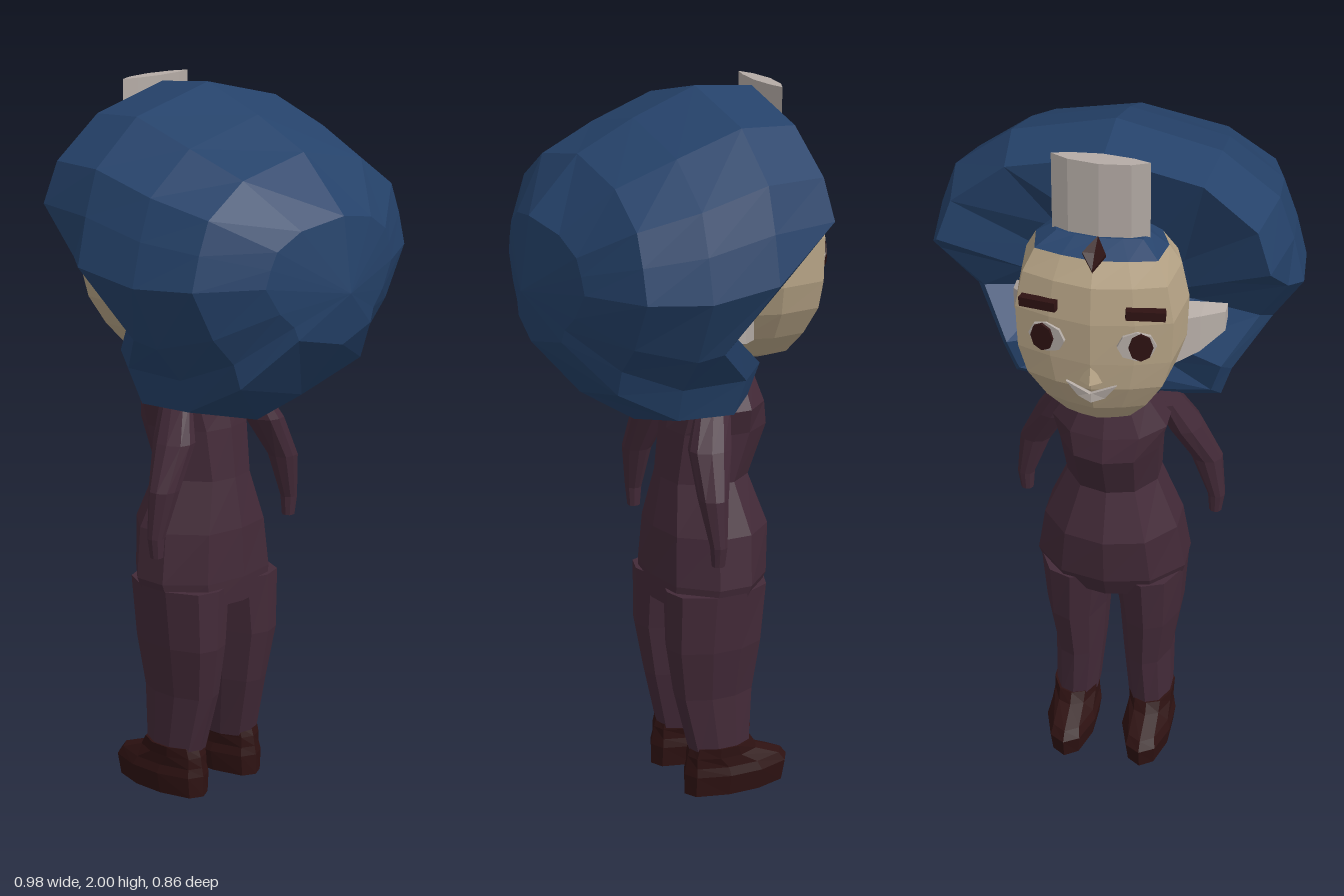
import * as THREE from 'three';

const mat = (name, color) => {
  const m = new THREE.MeshStandardMaterial({ color, flatShading: true });
  m.name = name;
  return m;
};

// Closed flat-shaded skin through equal-length rings of [x, y, z]; faces turned outward
function loft(rings, endPoint) {
  const mean = (r) => [0, 1, 2].map((k) => r.reduce((s, p) => s + p[k], 0) / r.length);
  const tris = [];
  const n = rings[0].length, last = rings[rings.length - 1];
  const start = mean(rings[0]), end = endPoint || mean(last);
  for (let j = 0; j < n; j++) {
    const k = (j + 1) % n;
    tris.push([start, rings[0][k], rings[0][j]], [end, last[j], last[k]]);
    for (let i = 0; i < rings.length - 1; i++) {
      const a = rings[i], b = rings[i + 1];
      tris.push([a[j], a[k], b[k]], [a[j], b[k], b[j]]);
    }
  }
  const [u, v, w] = [0, 1, 2].map(() => new THREE.Vector3());
  let volume = 0;
  for (const t of tris) {
    volume += u.fromArray(t[0]).dot(v.fromArray(t[1]).cross(w.fromArray(t[2])));
  }
  if (volume < 0) tris.forEach((t) => t.reverse());
  const g = new THREE.BufferGeometry();
  g.setAttribute('position', new THREE.Float32BufferAttribute(tris.flat(2), 3));
  g.computeVertexNormals();
  return g;
}

// Full loop from a half loop that starts and ends on the middle line
const mirrored = (half) => [...half, ...half.slice(1, -1).reverse().map(([x, ...yz]) => [-x, ...yz])];

// Thin plate: a mirrored outline thickened by an offset in y and z
const plate = (half, dy, dz) => {
  const ring = mirrored(half);
  return loft([ring, ring.map(([x, y, z]) => [x, y + dy, z + dz])]);
};

// Horizontal rings from rows [y, half width, front z, back z, centre x]
const BODY = [[0, 0], [0.6, 0.08], [1, 0.35], [1, 0.65], [0.6, 0.94], [0, 1]];
const FACE = [[0, 0], [0.5, 0.055], [0.92, 0.14], [1, 0.5], [0.8, 0.85], [0, 1]];
const stack = (rows, profile, side = 1) => loft(rows.map(([y, w, f, b, cx = 0]) =>
  mirrored(profile).map(([px, t]) => [px * w + cx * side, y, f + (b - f) * t])));

// Hair: one outline [x, height 0-1, rim z], resized for every ring from hairline to back
function hairGeometry() {
  const outline = [[0, 1, -.25], [.27, .93, -.245], [.42, .8, -.255], [.46, .67, -.27],
    [.49, .53, -.13], [.4, .32, -.02], [.31, .2, -.13], [.28, .09, -.11], [0, 0, -.05]];
  const ring = (width, bottom, top, depth) => mirrored(outline.map(([x, h, z]) =>
    [x * width, bottom + (top - bottom) * h, depth(x * width, z)]));
  return loft([
    ring(.46, 1.2, 1.77, (x, z) => z + x * .45),
    ring(.93, 1.14, 1.985, (x, z) => z),
    ring(1, 1.09, 2, (x, z) => Math.max(-.08, z + .05)),
    ring(.965, 1.1, 1.93, () => .1),
    ring(.86, 1.2, 1.85, () => .26),
    ring(.51, 1.36, 1.7, (x) => .4 - .18 * x),
  ], [0, 1.5, .427]);
}

export function createModel() {
  const hair = mat('hair blue', 0x25426a);
  const suit = mat('suit plum', 0x432a38);
  const dark = mat('dark brown', 0x2e1212);
  const skin = mat('skin', 0xb8a587);
  const pale = mat('pale grey', 0xb5aca6);
  const root = new THREE.Group();
  const add = (name, geometry, material, parent = root) => {
    const m = new THREE.Mesh(geometry, material);
    m.name = name;
    parent.add(m);
    return m;
  };

  add('hair', hairGeometry(), hair);

  // Head, with the top under the hairline in hair colour
  const headRows = [
    [1.79, .12, -.31, -.2], [1.76, .17, -.37, -.15], [1.7, .2, -.405, -.08], [1.6, .22, -.42, -.06],
    [1.48, .215, -.42, -.06], [1.4, .19, -.415, -.08], [1.32, .14, -.385, -.12],
    [1.26, .09, -.345, -.17], [1.237, .03, -.3, -.22],
  ];
  add('hairline', stack(headRows.slice(0, 2), FACE), hair);
  add('head', stack(headRows.slice(1), FACE), skin);

  // Dark hair point on the forehead, and the smile
  add('foreheadPoint', plate([[0, 1.79, -.31], [.03, 1.77, -.36], [0, 1.735, -.387]], .009, -.004), dark);
  add('mouth', plate([[0, 1.395, -.42], [.065, 1.415, -.402], [.035, 1.372, -.4], [0, 1.36, -.408]], 0, -.009), pale);

  // Nose wedge
  const nose = add('nose', new THREE.ConeGeometry(.03, .06, 4), skin);
  nose.scale.z = .7;
  nose.position.set(0, 1.455, -.415);

  // Tall curved headpiece
  const arc = mirrored([[0, -.255], [.08, -.263], [.125, -.275], [.08, -.295], [0, -.305]]);
  add('headpiece', loft([1.76, 2].map((y) => arc.map(([x, z]) => [x, y, z]))), pale);

  // Torso from collar to hips
  add('torso', stack([
    [1.29, .06, -.2, -.12], [1.22, .1, -.24, -.06], [1.13, .155, -.27, -.01], [1.06, .135, -.285, .005],
    [.92, .125, -.23, .02], [.78, .185, -.28, .045], [.64, .207, -.27, .052], [.57, .19, -.24, .05],
  ], BODY), suit);

  for (const s of [1, -1]) {
    const side = s > 0 ? 'left' : 'right';

    // Eye: pale oval, dark iris and brow, turned with the cheek
    const eye = new THREE.Group();
    eye.name = side + 'Eye';
    eye.position.set(s * .115, 1.54, -.4);
    eye.rotation.y = -s * .24;
    root.add(eye);
    const disc = (w, h) => new THREE.CylinderGeometry(1, 1, .009, 8).rotateX(Math.PI / 2).scale(w, h, 1);
    add('eyeWhite', disc(.05, .043), pale, eye);
    add('iris', disc(.031, .04), dark, eye).position.set(s * .01, 0, -.007);
    const brow = add('eyebrow', new THREE.BoxGeometry(.1, .026, .022), dark, eye);
    brow.position.set(s * .022, .095, 0);
    brow.rotation.z = -s * .08;

    // Ear flaring out and back: rows [x, half height, front z, back z]
    const ear = [[.16, .07, -.18, -.08], [.23, .055, -.12, -.05], [.285, .03, -.05, -.01]];
    add(side + 'Ear', loft(ear.map(([x, h, f, b]) =>
      [[f, h], [f, -h], [b, -h], [b, h]].map(([z, y]) => [s * x, 1.4 + y, z]))), pale);

    // Arm, leg and shoe
    add(side + 'Arm', stack([
      [1.15, .03, -.12, -.02, .14], [1.05, .048, -.1, .02, .18], [.93, .042, -.06, .02, .24],
      [.8, .023, -.045, 0, .27], [.745, .017, -.04, -.005, .268],
    ], BODY, s), suit);
    add(side + 'Leg', stack([
      [.62, .102, -.25, .05, .1], [.45, .085, -.235, .05, .105], [.3, .068, -.215, .025, .098],
      [.12, .06, -.2, -.02, .107],
    ], BODY, s), suit);
    add(side + 'Shoe', stack([
      [0, .062, -.315, 0, .11], [.06, .07, -.325, 0, .11], [.085, .062, -.305, -.005, .11],
      [.115, .06, -.225, -.01, .11], [.145, .062, -.205, -.02, .11],
    ], BODY, s), dark);
  }

  return root;
}
